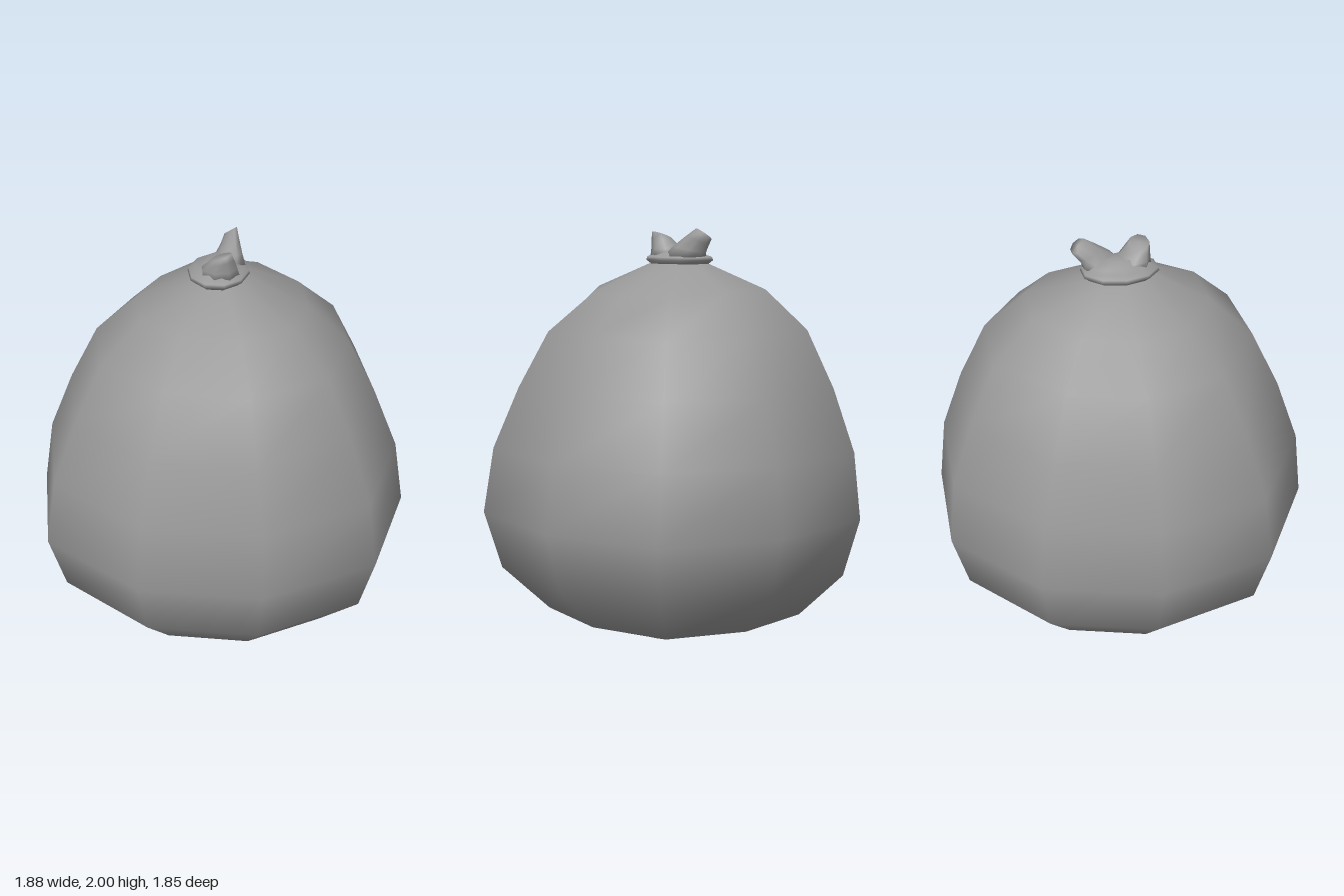
import * as THREE from 'three';

const SIDES = 10;
const START = -11.5 * Math.PI / 180;

// One ring of points: an ellipse (a, b) turned by rot, its plane sloped by tx, tz
function ring(cx, y, cz, a, b, rot = 0, tx = 0, tz = 0, n = SIDES) {
  return Array.from({ length: n }, (_, j) => {
    const t = START + j / n * Math.PI * 2 - rot;
    const u = a * Math.cos(t), v = b * Math.sin(t);
    const x = u * Math.cos(rot) - v * Math.sin(rot);
    const z = u * Math.sin(rot) + v * Math.cos(rot);
    return [cx + x, y + tx * x + tz * z, cz + z];
  });
}

// Smooth closed skin through rings listed from bottom to top
function loft(name, rings, material) {
  const n = rings[0].length, last = (rings.length - 1) * n;
  const points = rings.flat(), index = [];
  for (let i = 0; i < rings.length - 1; i++) {
    for (let j = 0; j < n; j++) {
      const a = i * n + j, b = i * n + (j + 1) % n;
      index.push(a, a + n, b, b, a + n, b + n);
    }
  }
  const middle = r => [0, 1, 2].map(k => r.reduce((s, p) => s + p[k], 0) / n);
  const bottom = points.push(middle(rings[0])) - 1;
  const top = points.push(middle(rings[rings.length - 1])) - 1;
  for (let j = 0; j < n; j++) {
    const k = (j + 1) % n;
    index.push(bottom, j, k, top, last + k, last + j);
  }
  const geometry = new THREE.BufferGeometry();
  geometry.setAttribute('position', new THREE.Float32BufferAttribute(points.flat(), 3));
  geometry.setIndex(index);
  geometry.computeVertexNormals();
  const mesh = new THREE.Mesh(geometry, material);
  mesh.name = name;
  return mesh;
}

export function createModel() {
  const group = new THREE.Group();
  group.name = 'tiedSack';
  const cloth = new THREE.MeshStandardMaterial({ color: 0x999999 });

  // Bulging sack: [radius share, height, shoulder fullness], with slightly uneven sides
  const bulge = [0.955, 0.91, 0.975, 0.93, 0.93, 0.96, 0.91, 0.905, 0.93, 0.9];
  const profile = [
    [0.34, 0.02, 0], [0.68, 0.14, 0], [0.915, 0.36, 0], [1, 0.64, 0], [0.945, 0.955, 0.02],
    [0.815, 1.245, 0.045], [0.665, 1.51, 0.065], [0.445, 1.69, 0.08],
  ];
  const body = profile.map(([share, y, full], i) => bulge.map((r, j) => {
    const base = i === 0;
    const t = START + j / SIDES * Math.PI * 2 + (base ? 0.3 : 0);
    const swell = full * Math.max(0, Math.cos(2 * (t - 1.95)));
    const sag = base ? -0.02 * Math.cos(t - 2.06) : swell * 0.35;
    const radius = r * share * (1 + swell);
    return [radius * Math.cos(t) - (base ? 0.02 : 0), y + sag, radius * Math.sin(t)];
  }));
  body.push(ring(-0.01, 1.83, 0.01, 0.16, 0.13, 1.99));
  group.add(loft('sackBody', body, cloth));

  // Oval tie collar around the neck, closed by a low gathered dome
  const collar = [[0.15, 0.11, 1.815], [0.165, 0.125, 1.832], [0.187, 0.145, 1.848],
    [0.182, 0.14, 1.862], [0.155, 0.112, 1.872], [0.135, 0.085, 1.888], [0.075, 0.05, 1.912]];
  group.add(loft('tieCollar',
    collar.map(([a, b, y]) => ring(-0.018, y, 0.01, a, b, 1.99)), cloth));

  // Two broad gathered cloth ends flaring apart out of the collar
  group.add(loft('frontClothEnd', [
    ring(-0.03, 1.85, 0.055, 0.1, 0.105, 0, 0, 0, 8),
    ring(-0.033, 1.9, 0.075, 0.083, 0.08, 0, 0, 0, 8),
    ring(-0.036, 1.94, 0.095, 0.063, 0.06, 0, 0.15, 0.15, 8),
    ring(-0.037, 1.967, 0.106, 0.05, 0.048, 0, 0.25, 0.25, 8),
  ], cloth));
  group.add(loft('backClothEnd', [
    ring(0.04, 1.85, -0.03, 0.085, 0.11, 0, 0, 0, 8),
    ring(0.057, 1.9, -0.065, 0.06, 0.08, 0, 0, 0.2, 8),
    ring(0.075, 1.94, -0.108, 0.042, 0.055, 0, 0.25, 0.4, 8),
    ring(0.092, 1.975, -0.147, 0.028, 0.038, 0, 0.4, 0.6, 8),
  ], cloth));

  return group;
}
